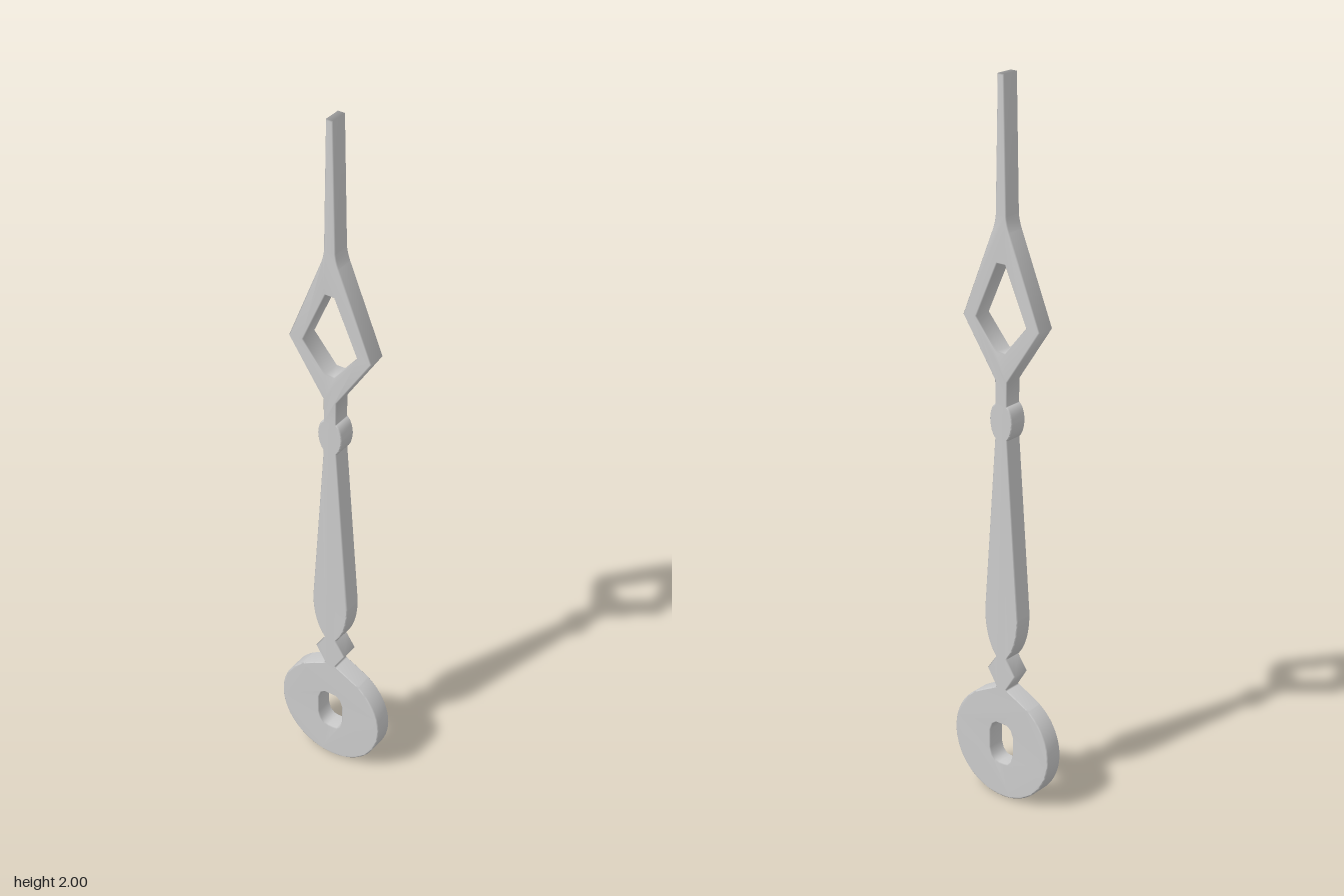
import * as THREE from 'three';
import { mergeVertices } from 'three/addons/utils/BufferGeometryUtils.js';

const DEPTH = 0.055, BEVEL = 0.003;
const HUB_R = 0.161;

// Right half of the outline, from the tip down to the hub
function rightHalf() {
  const p = new THREE.Path();
  p.moveTo(0.01, 2);
  p.lineTo(0.017, 1.645);                       // needle tip
  p.quadraticCurveTo(0.019, 1.625, 0.027, 1.605);
  p.lineTo(0.124, 1.365);                       // diamond
  p.lineTo(0.02, 1.21);
  p.lineTo(0.019, 1.145);                       // neck
  p.quadraticCurveTo(0.035, 1.135, 0.037, 1.1); // small bulb
  p.quadraticCurveTo(0.035, 1.065, 0.02, 1.05);
  p.lineTo(0.056, 0.55);                        // tapered shaft
  p.bezierCurveTo(0.055, 0.5, 0.046, 0.455, 0.018, 0.422);
  p.lineTo(0.047, 0.38);                        // pointed bead
  p.lineTo(0.017, 0.332);
  p.quadraticCurveTo(0.06, 0.312, 0.094, 0.292); // shoulder
  const a = Math.atan2(0.292 - HUB_R, 0.094);
  p.absarc(0, HUB_R, HUB_R, a, -Math.PI / 2, true); // hub disc
  return p.getPoints(20);
}

// Close a half outline with its mirror image, dropping points on the axis
function mirrored(half) {
  const other = half.filter(p => Math.abs(p.x) > 1e-5)
    .map(p => new THREE.Vector2(-p.x, p.y)).reverse();
  return [...half, ...other];
}

// Holes run opposite to the outline so that their walls face inward
function hole(points) {
  const half = points.map(([x, y]) => new THREE.Vector2(x, y));
  return new THREE.Path(mirrored(half).reverse());
}

export function createModel() {
  const group = new THREE.Group();
  group.name = 'clockHand';

  const shape = new THREE.Shape(mirrored(rightHalf()));
  shape.holes.push(
    // Diamond window with blunt ends
    hole([[0.013, 1.52], [0.081, 1.368], [0.013, 1.288]]),
    // Oblong mounting hole with rounded corners
    hole([[0.018, 0.222], [0.031, 0.213], [0.039, 0.192], [0.039, 0.138],
      [0.032, 0.115], [0.02, 0.104], [0.008, 0.102]]),
  );

  const extruded = new THREE.ExtrudeGeometry(shape, {
    depth: DEPTH - 2 * BEVEL,
    bevelEnabled: true,
    bevelThickness: BEVEL,
    bevelSize: BEVEL,
    bevelOffset: -BEVEL,
    bevelSegments: 1,
  });
  extruded.translate(0, 0, -DEPTH / 2 + BEVEL);

  // Share vertices so the shading runs smoothly over the softened edges
  extruded.deleteAttribute('uv');
  extruded.deleteAttribute('normal');
  const geometry = mergeVertices(extruded, 1e-5);
  geometry.computeVertexNormals();

  const hand = new THREE.Mesh(geometry, new THREE.MeshStandardMaterial({ color: 0xcccccc }));
  hand.name = 'handBlade';
  group.add(hand);
  return group;
}
